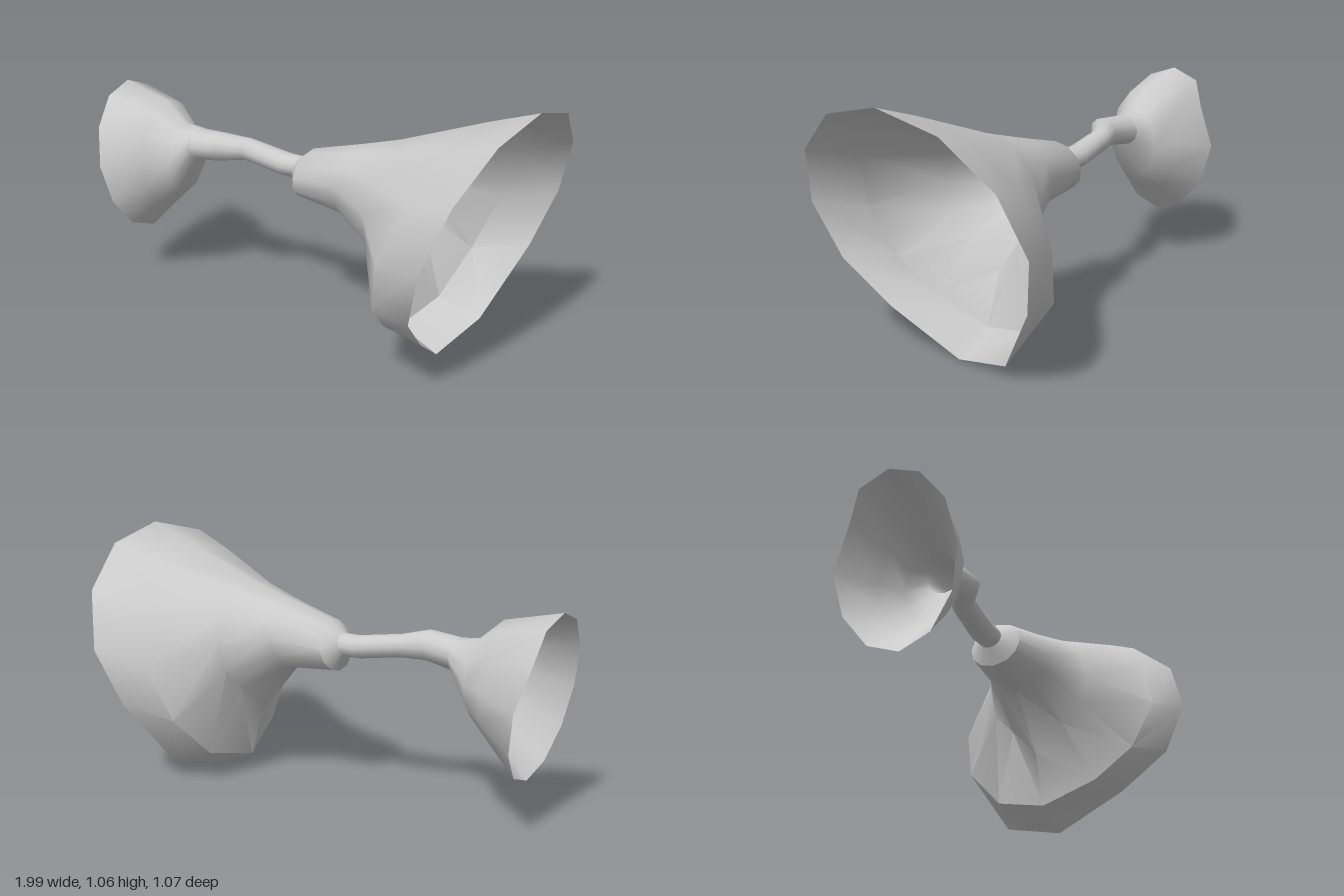
import * as THREE from 'three';
import { toCreasedNormals } from 'three/addons/utils/BufferGeometryUtils.js';

const SIDES = 12;

// Skin of tilted rings, each [xTop, yTop, xBottom, yBottom, zCentre, zRadius], listed along +x.
// Single corners are placed by hand through moved['ring,side'] = [x, y, z].
function loft(name, rings, crease, moved = {}) {
  const points = rings.map(([xt, yt, xb, yb, zc, rz], i) =>
    Array.from({ length: SIDES }, (_, j) => {
      const t = (j / SIDES) * Math.PI * 2;
      const k = (1 - Math.cos(t)) / 2;
      const p = [xt + (xb - xt) * k, yt + (yb - yt) * k, zc + rz * Math.sin(t)];
      return new THREE.Vector3(...(moved[`${i},${j}`] ?? p));
    })
  );
  const tris = [];
  for (let i = 0; i + 1 < points.length; i++) {
    for (let j = 0; j < SIDES; j++) {
      const n = (j + 1) % SIDES;
      const [a, b, c, d] = [points[i][j], points[i][n], points[i + 1][j], points[i + 1][n]];
      tris.push(a, b, c, b, d, c);
    }
  }
  const geometry = toCreasedNormals(new THREE.BufferGeometry().setFromPoints(tris), crease);
  const material = new THREE.MeshStandardMaterial({ color: 0xcccccc, side: THREE.DoubleSide });
  const mesh = new THREE.Mesh(geometry, material);
  mesh.name = name;
  return mesh;
}

export function createModel() {
  const group = new THREE.Group();
  group.name = 'horn';

  // Small flared earpiece, open at -x, slightly flattened at the upper back
  group.add(loft('smallBell', [
    [-1.0, 0.885, -0.88, 0.22, 0.06, 0.25],
    [-0.76, 0.83, -0.75, 0.35, 0.058, 0.18],
    [-0.66, 0.745, -0.66, 0.43, 0.057, 0.118],
    [-0.57, 0.735, -0.565, 0.602, 0.057, 0.078],
  ], 0.85, {
    '0,10': [-0.97, 0.72, -0.11],
    '1,10': [-0.758, 0.71, -0.075],
  }));

  // Thin crooked pipe, hollow from end to end
  group.add(loft('pipe', [
    [-0.57, 0.735, -0.565, 0.602, 0.057, 0.078],
    [-0.43, 0.745, -0.44, 0.62, 0.07, 0.068],
    [-0.335, 0.725, -0.335, 0.63, 0.013, 0.05],
    [-0.14, 0.695, -0.15, 0.6, 0, 0.054],
    [-0.06, 0.695, -0.08, 0.6, 0, 0.05],
  ], 0.85));

  // Large flared bell, open at +x, with a keel below and a pulled-down, skewed lip
  group.add(loft('largeBell', [
    [-0.06, 0.695, -0.08, 0.6, 0, 0.05],
    [0.0, 0.742, -0.045, 0.532, 0, 0.112],
    [0.25, 0.81, 0.18, 0.51, 0, 0.15],
    [0.42, 0.86, 0.39, 0.385, 0, 0.235],
    [0.8, 1.0, 0.44, 0.075, 0, 0.46],
    [0.993, 1.064, 0.685, 0.12, 0, 0.533],
  ], 0.75, {
    '3,6': [0.37, 0.29, 0],
    '4,4': [0.55, 0.32, 0.375],
    '4,5': [0.5, 0.18, 0.22],
    '4,7': [0.48, 0.13, -0.23],
    '5,5': [0.7, 0.18, 0.268],
    '5,6': [0.613, 0, 0],
    '5,7': [0.655, 0.065, -0.268],
  }));

  return group;
}
